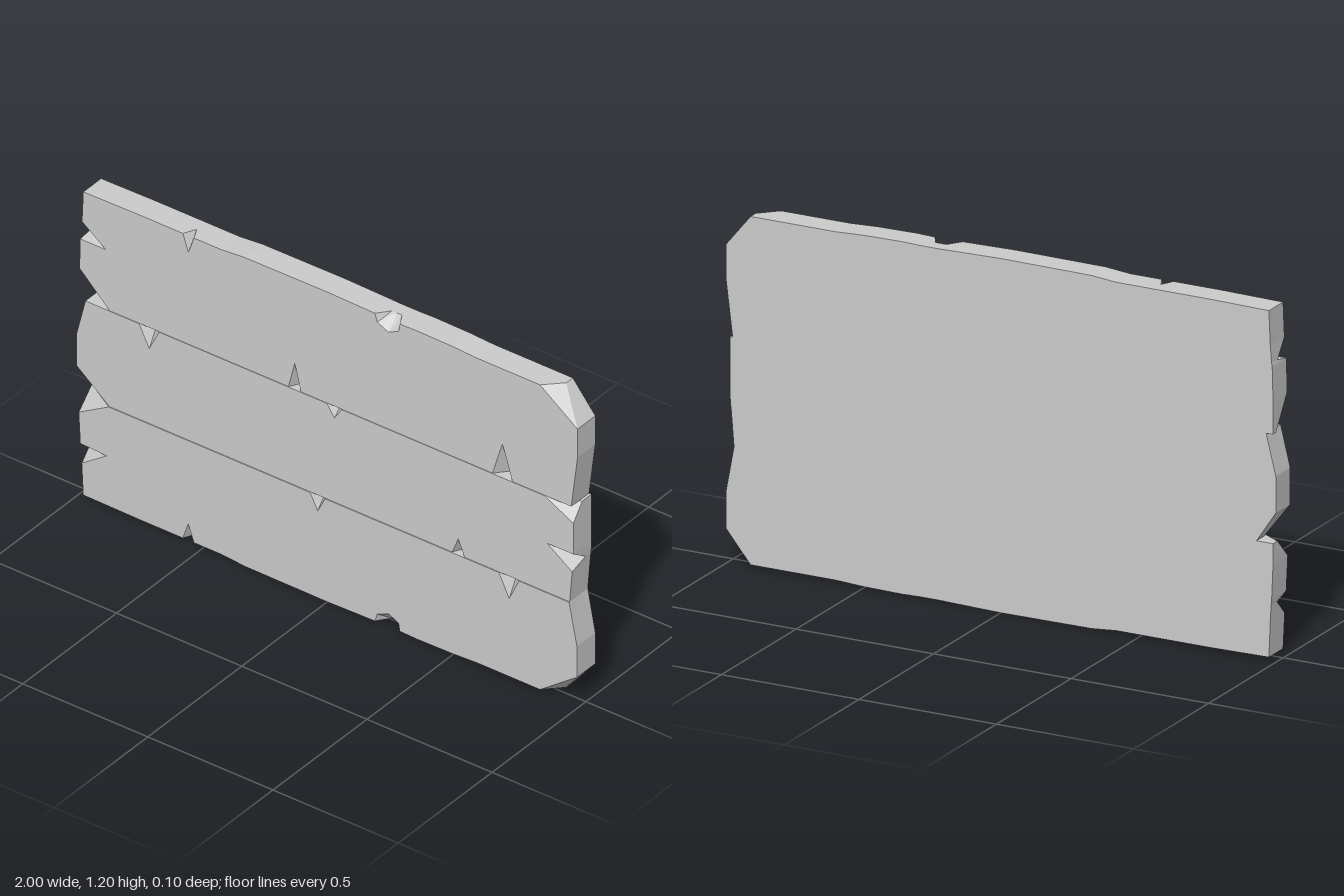
import * as THREE from 'three';

const BACK = -0.05;

// Outline corner: front x, y, then (for a chip) the x, y and z where the chip bottoms out on the side wall.
const corner = ([x, y, mx, my, mz = 0]) => ({
  f: [x, y], m: [mx ?? x, my ?? y], z: mz, chip: mx !== undefined,
});

// A small pyramid-shaped chip on a horizontal plank edge, listed in the direction dir.
const chip = (x, y, tipY, half, dir) => [
  [x - dir * half, y], [x, tipY, x, y, 0], [x + dir * half, y],
];

// Solid plank: front cap, chipped side walls through a middle loop, flat back cap.
function plank(name, outline, frontZ, material) {
  const pts = outline.map(corner);
  const pos = [];
  const tri = (...vs) => vs.forEach((v) => pos.push(...v));
  const front = pts.map(({ f }) => [...f, frontZ(f[1])]);
  const mid = pts.map(({ m, z }) => [...m, z]);
  const back = pts.map(({ m }) => [...m, BACK]);

  const cap = (loop, sign) => {
    const flat = loop.map(([x, y]) => new THREE.Vector2(x, y));
    for (const [i, j, k] of THREE.ShapeUtils.triangulateShape(flat, [])) {
      const area = THREE.ShapeUtils.area([flat[i], flat[j], flat[k]]);
      if (area * sign > 0) tri(loop[i], loop[j], loop[k]);
      else tri(loop[i], loop[k], loop[j]);
    }
  };
  cap(front, 1);
  cap(back, -1);

  pts.forEach((p, i) => {
    const j = (i + 1) % pts.length;
    if (p.chip) {
      tri(front[i], mid[i], front[j]);
      tri(front[j], mid[i], mid[j]);
    } else {
      tri(front[i], mid[j], front[j]);
      tri(front[i], mid[i], mid[j]);
    }
    tri(mid[i], back[i], back[j]);
    tri(mid[i], back[j], mid[j]);
  });

  const geo = new THREE.BufferGeometry();
  geo.setAttribute('position', new THREE.Float32BufferAttribute(pos, 3));
  geo.computeVertexNormals();
  const mesh = new THREE.Mesh(geo, material);
  mesh.name = name;
  return mesh;
}

export function createModel() {
  const group = new THREE.Group();
  group.name = 'plankBoard';
  const material = new THREE.MeshStandardMaterial({ color: 0xcccccc, flatShading: true });

  // Wavy outer edge with cut corner and chips, right to left; mirrored for the bottom.
  const outerEdge = [
    [1, 1.08], [0.85, 1.19, 0.91, 1.19, -0.015], [0.6, 1.19], [0.5, 1.195], [0.36, 1.197],
    [0.29, 1.195], [0.285, 1.165, 0.265, 1.195, 0], [0.245, 1.145, 0.245, 1.195, 0],
    [0.2, 1.165, 0.225, 1.195, 0], [0.19, 1.196], [0, 1.2], [-0.33, 1.198], [-0.42, 1.19],
    ...chip(-0.555, 1.19, 1.125, 0.022, -1), [-0.75, 1.19], [-0.975, 1.187],
  ];
  const lowerEdge = outerEdge
    .map(([x, y, mx, my, mz]) => (mx === undefined ? [x, 1.2 - y] : [x, 1.2 - y, mx, 1.2 - my, mz]))
    .reverse();

  const topPlank = [
    ...outerEdge,
    [-0.98, 1.07], [-0.885, 1.0, -0.985, 1.01, -0.01], [-0.987, 1.0],
    [-0.99, 0.885], [-0.87, 0.77, -0.99, 0.77, -0.03],
    ...chip(-0.13, 0.77, 0.87, 0.025, 1),
    ...chip(0.7, 0.77, 0.9, 0.04, 1),
    [0.975, 0.77], [1, 0.97],
  ];

  const middlePlank = [
    [0.97, 0.4], [0.98, 0.52], [0.88, 0.59, 0.983, 0.545, -0.02], [0.985, 0.59],
    [0.985, 0.71], [0.87, 0.77, 0.985, 0.77, 0],
    ...chip(0.03, 0.77, 0.725, 0.03, -1),
    ...chip(-0.71, 0.77, 0.69, 0.04, -1),
    [-0.965, 0.77], [-1, 0.63], [-1, 0.505], [-0.87, 0.4, -0.93, 0.4, 0],
    ...chip(0.525, 0.4, 0.46, 0.025, 1),
  ];

  const bottomPlank = [
    ...lowerEdge,
    [1, 0.24], [0.97, 0.4],
    ...chip(0.73, 0.4, 0.315, 0.04, -1),
    ...chip(-0.035, 0.4, 0.34, 0.03, -1),
    [-0.87, 0.4, -0.99, 0.4, -0.02], [-0.99, 0.33],
    [-0.985, 0.21], [-0.88, 0.205, -0.983, 0.19, -0.01], [-0.98, 0.135],
  ];

  group.add(
    plank('topPlank', topPlank, () => 0.045, material),
    plank('middlePlank', middlePlank, () => 0.047, material),
    plank('bottomPlank', bottomPlank, (y) => 0.045 + 0.0125 * y, material),
  );
  return group;
}
